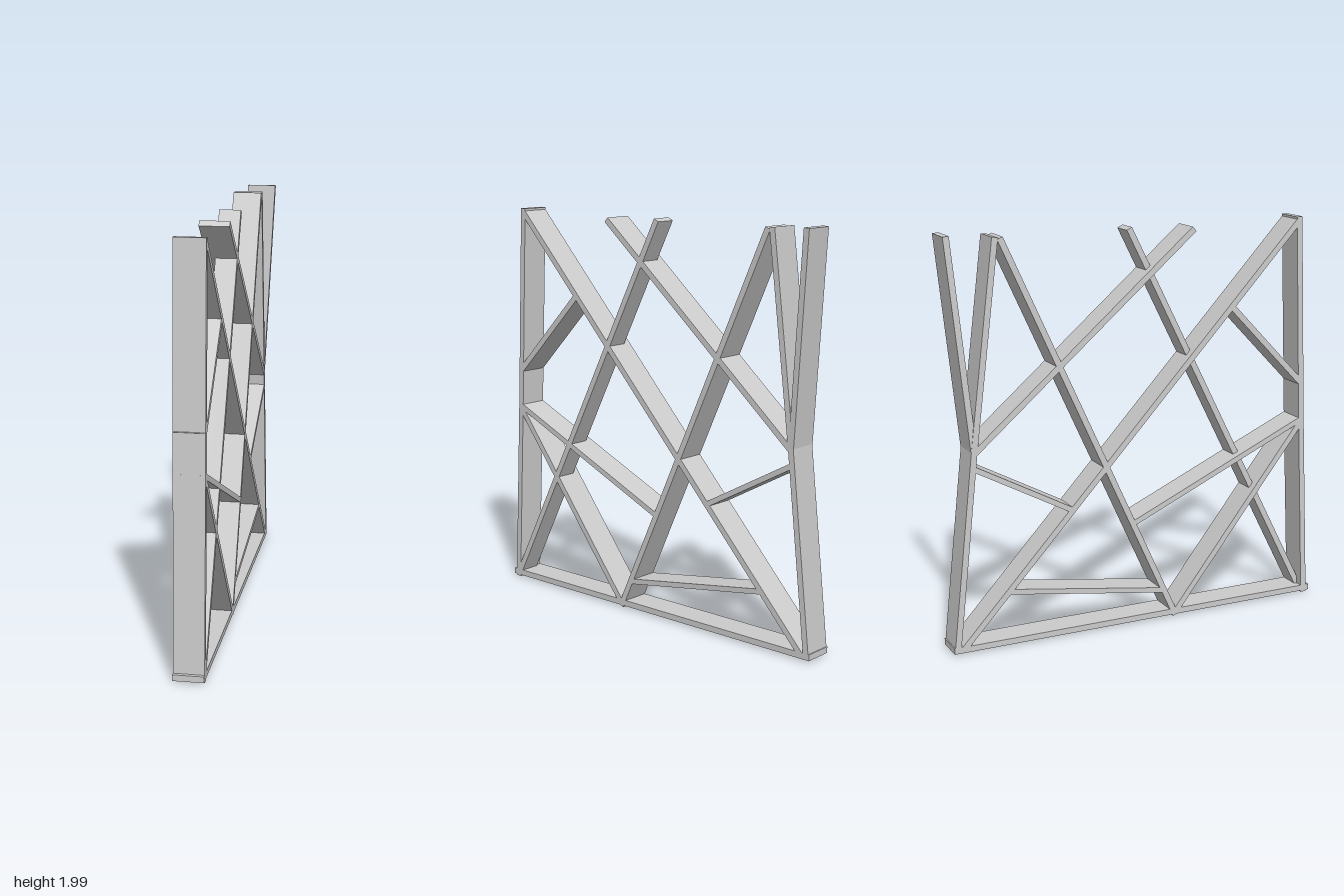
import * as THREE from 'three';

const RIGHT = -0.095, LEFT = 0.05;

export function createModel() {
  const group = new THREE.Group();
  const material = new THREE.MeshStandardMaterial({ color: 0xcccccc, flatShading: true });

  // A plank between two points (z, y), with an optional sideways lean of its far end
  function plank(name, [z0, y0], [z1, y1], { thick = 0.03, right = RIGHT, lean = 0 } = {}) {
    const dz = z1 - z0, dy = y1 - y0;
    const length = Math.hypot(dz, dy);
    const geometry = new THREE.BoxGeometry(LEFT - right, length, thick);
    const pos = geometry.attributes.position;
    for (let i = 0; i < pos.count; i++) {
      pos.setX(i, pos.getX(i) + lean * (pos.getY(i) / length + 0.5));
    }
    geometry.computeVertexNormals();
    const mesh = new THREE.Mesh(geometry, material);
    mesh.name = name;
    mesh.position.set((LEFT + right) / 2, (y0 + y1) / 2, (z0 + z1) / 2);
    mesh.rotation.x = Math.atan2(dz, dy);
    group.add(mesh);
  }

  // Outer frame
  plank('base', [0.987, 0.03], [-0.987, 0.03]);
  plank('frontPostLower', [0.957, 0.008], [0.912, 0.965]);
  plank('frontPostUpper', [0.912, 0.96], [0.87, 1.995]);
  plank('backPostLower', [-0.97, 0.018], [-0.86, 1.0]);
  plank('backPostUpper', [-0.862, 1.0], [-0.953, 1.999], { lean: 0.04 });
  plank('backPostBranch', [-0.86, 1.0], [-0.735, 1.988]);

  // Long crossing slats
  plank('mainDiagonal', [0.873, 1.98], [-0.94, 0.03]);
  plank('frontRisingSlat', [0.953, 0.022], [-0.045, 1.983], { right: -0.055 });
  plank('middleRisingSlat', [0.195, 0.012], [-0.711, 1.983]);
  plank('upperDiagonal', [0.282, 1.968], [-0.86, 0.99]);

  // Short braces
  plank('upperFrontBrace', [0.5, 1.57], [0.91, 1.145]);
  plank('middleFrontBrace', [0.91, 0.957], [-0.03, 0.538], { thick: 0.027 });
  plank('lowerFrontBrace', [0.915, 0.95], [0.195, 0.03]);
  plank('backBrace', [-0.86, 0.915], [-0.37, 0.65], { thick: 0.026 });
  plank('lowBrace', [0.13, 0.155], [-0.7, 0.285], { thick: 0.026 });

  return group;
}
